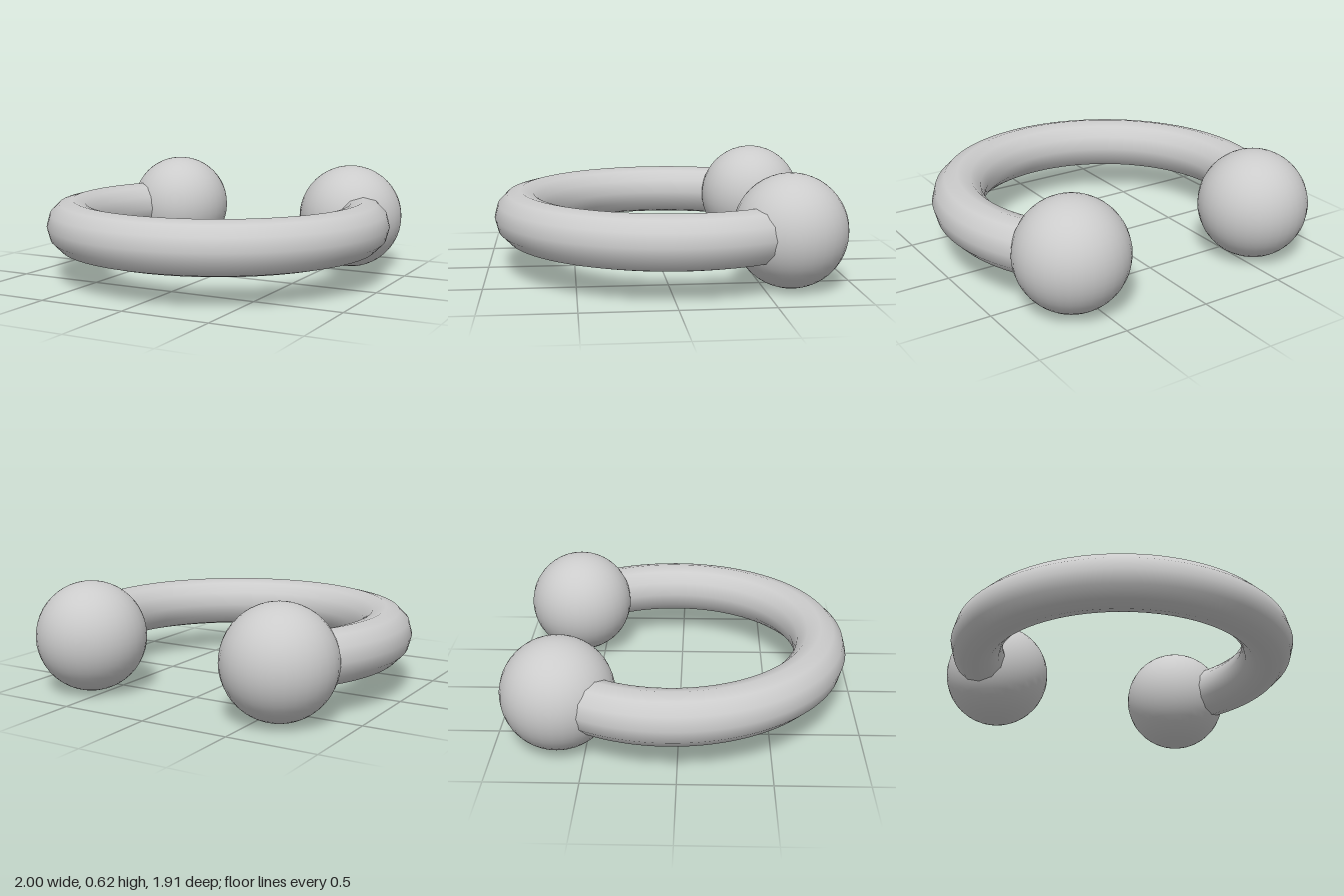
import * as THREE from 'three';

export function createModel() {
  const group = new THREE.Group();
  const material = new THREE.MeshStandardMaterial({ color: 0xcccccc });
  const ringRadius = 0.85, tubeRadius = 0.15, ballRadius = 0.31;
  const centreZ = -0.045;

  // Three-quarter ring lying flat, open towards the back
  const ringGeometry = new THREE.TorusGeometry(ringRadius, tubeRadius, 12, 72, Math.PI * 1.5);
  ringGeometry.rotateZ(-Math.PI / 4).rotateX(Math.PI / 2);
  const ring = new THREE.Mesh(ringGeometry, material);
  ring.name = 'openRing';
  ring.position.set(0, ballRadius, centreZ);
  group.add(ring);

  // A ball on each end of the ring
  const ballGeometry = new THREE.SphereGeometry(ballRadius, 32, 24);
  const offset = ringRadius * Math.SQRT1_2;
  for (const [name, side] of [['leftBall', 1], ['rightBall', -1]]) {
    const ball = new THREE.Mesh(ballGeometry, material);
    ball.name = name;
    ball.position.set(side * offset, ballRadius, centreZ - offset);
    group.add(ball);
  }
  return group;
}
